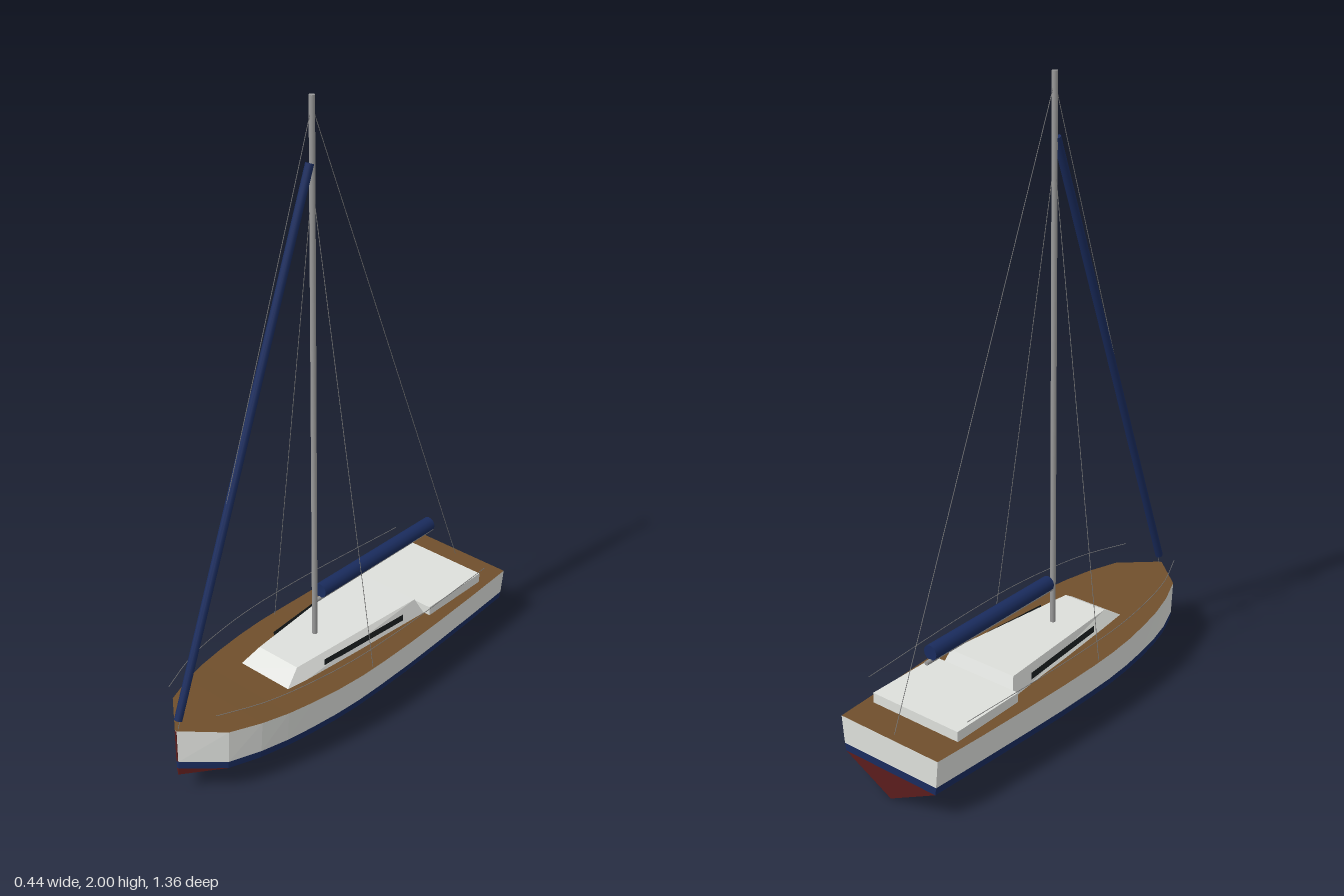
import * as THREE from 'three';

const mat = (name, color, extra = {}) => {
  const m = new THREE.MeshStandardMaterial({ color, ...extra });
  m.name = name;
  return m;
};

// Flat-faced skin between two rings of points, upper ring first
function loft(upper, lower, closed = true) {
  const pos = [];
  const n = upper.length;
  for (let i = 0; i < (closed ? n : n - 1); i++) {
    const j = (i + 1) % n;
    pos.push(...upper[i], ...lower[i], ...upper[j], ...upper[j], ...lower[i], ...lower[j]);
  }
  const g = new THREE.BufferGeometry();
  g.setAttribute('position', new THREE.Float32BufferAttribute(pos, 3));
  g.computeVertexNormals();
  return g;
}

// Hull stations from bow to stern: z, half beam, sheer height, keel height
const stations = [
  [0.68, 0.004, 0.23, 0.065], [0.58, 0.12, 0.228, 0.054], [0.48, 0.16, 0.224, 0.043],
  [0.39, 0.184, 0.22, 0.033], [0.3, 0.2, 0.217, 0.023], [0.2, 0.213, 0.214, 0.012],
  [0.1, 0.22, 0.212, 0.003], [0, 0.221, 0.21, 0], [-0.14, 0.219, 0.209, 0],
  [-0.3, 0.212, 0.207, 0], [-0.5, 0.201, 0.205, 0], [-0.68, 0.19, 0.205, 0],
];

// Plan ring running down the left side and back up the right
function ring(point) {
  const left = stations.map(([z, w, sheer, keel]) => [...point(w, sheer, keel), z]);
  return [...left, ...left.map(([x, y, z]) => [-x, y, z]).reverse()];
}

const rect = (frontW, frontZ, frontY, backW, backZ, backY) => [
  [frontW, frontY, frontZ], [backW, backY, backZ], [-backW, backY, backZ], [-frontW, frontY, frontZ],
];

export function createModel() {
  const model = new THREE.Group();
  model.name = 'sailboat';
  const white = mat('hull white', 0xdddfdb);
  const teak = mat('teak deck', 0x704f2c);
  const navy = mat('navy canvas', 0x1a2c5e);
  const red = mat('bottom paint', 0x5a1c1c);
  const metal = mat('mast grey', 0x9a9a9a);
  const wire = mat('rigging wire', 0x7c7c7c);
  const glass = mat('window dark', 0x1c2022, { side: THREE.DoubleSide });

  const add = (name, geometry, material) => {
    const m = new THREE.Mesh(geometry, material);
    m.name = name;
    model.add(m);
    return m;
  };

  // Straight round bar between two points
  const bar = (name, a, b, r, material, sides = 8) => {
    const p = new THREE.Vector3(...a), q = new THREE.Vector3(...b);
    const m = add(name, new THREE.CylinderGeometry(r, r, p.distanceTo(q), sides), material);
    m.position.copy(p).lerp(q, 0.5);
    m.quaternion.setFromUnitVectors(new THREE.Vector3(0, 1, 0), q.sub(p).normalize());
  };

  // Hull bands from deck edge to keel, then the deck
  const sheer = ring((w, s) => [w, s]);
  const stripeTop = ring((w) => [w * 0.955, 0.115]);
  const stripeBottom = ring((w) => [w * 0.935, 0.09]);
  const keel = ring((w, s, k) => [0, k]);
  add('topsides', loft(sheer, stripeTop), white);
  add('waterlineStripe', loft(stripeTop, stripeBottom), navy);
  add('hullBottom', loft(stripeBottom, keel), red);
  add('deck', loft(ring((w, s) => [0, s]), sheer), teak);

  // Narrow painted stem
  add('stem', new THREE.BoxGeometry(0.007, 0.112, 0.002).translate(0, 0.172, 0.68), red);

  // House with sloping walls, and the raised cockpit behind it
  const house = (name, base, top) => {
    add(name + 'Walls', loft(top, base), white);
    add(name + 'Top', loft(top.map(([x, y, z]) => [0, y, z]), top), white);
  };
  house('cabin', rect(0.105, 0.325, 0.205, 0.146, -0.302, 0.2), rect(0.08, 0.244, 0.255, 0.125, -0.272, 0.265));
  house('cockpit', rect(0.167, -0.3, 0.2, 0.167, -0.57, 0.2), rect(0.167, -0.3, 0.238, 0.167, -0.57, 0.238));

  // Long upright windows standing just proud of the cabin walls
  for (const side of [1, -1]) {
    const edge = (y) => [[side * 0.109, y, 0.15], [side * 0.137, y, -0.2]];
    add(side > 0 ? 'leftWindow' : 'rightWindow', loft(edge(0.248), edge(0.225), false), glass);
  }

  // Mast, boom and stowed sails
  bar('mast', [0, 0.25, 0.075], [0, 2, 0.075], 0.009, metal, 12);
  bar('boom', [0, 0.378, 0.075], [0, 0.374, -0.515], 0.007, metal);
  bar('sailCover', [0, 0.405, 0.05], [0, 0.401, -0.497], 0.0245, navy, 12);
  bar('furledHeadsail', [0, 0.262, 0.668], [0, 1.812, 0.085], 0.013, navy, 10);

  // Standing rigging
  bar('forestay', [0, 0.23, 0.67], [0, 1.97, 0.075], 0.0011, wire, 5);
  bar('backstay', [0, 0.205, -0.655], [0, 1.97, 0.075], 0.0011, wire, 5);
  for (const side of [1, -1]) {
    bar('shroud', [side * 0.212, 0.21, 0.038], [0, 1.75, 0.075], 0.0011, wire, 5);

    // Lifeline following the deck edge
    const path = [[0.61, 0.105], ...stations.slice(2, -1), [-0.56, 0.198]];
    const curve = new THREE.CatmullRomCurve3(path.map(([z, w]) =>
      new THREE.Vector3(side * (w - 0.004), 0.286 + z * 0.017, z)));
    add('lifeline', new THREE.TubeGeometry(curve, 24, 0.0011, 5), wire);
  }
  return model;
}
